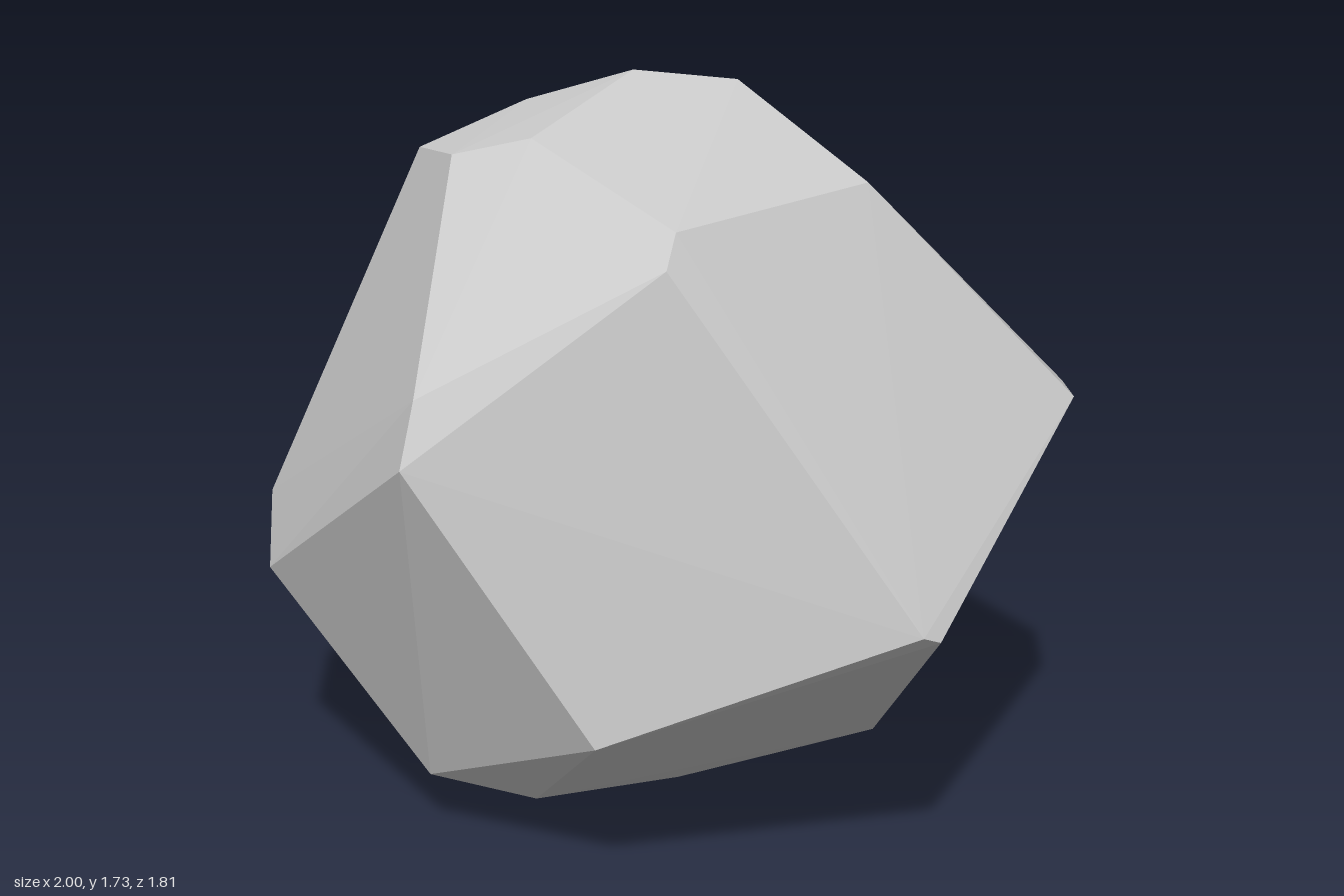
import * as THREE from 'three';
import { ConvexGeometry } from 'three/addons/geometries/ConvexGeometry.js';

// Corners of the rock's cut faces, grouped by height [x, y, z]
const crown = [
  [-0.1, 1.73, -0.12], [0.13, 1.7, -0.24], [-0.39, 1.64, -0.16], [-0.18, 1.64, 0.4],
  [-0.38, 1.59, 0.38], [-0.58, 1.55, 0.08], [0.54, 1.53, 0.13], [0.24, 1.5, 0.67],
  [0.24, 1.43, 0.74], [0.16, 1.47, -0.68], [-0.38, 1.39, -0.61],
];
const waist = [
  [-0.29, 1.14, 0.87], [-0.31, 0.99, 0.91], [1, 1, -0.1], [0.93, 0.92, -0.43],
  [0.93, 0.96, -0.4], [0.47, 1.1, -0.83], [0.83, 0.62, 0.63], [0.8, 0.64, 0.67],
  [-1, 0.65, 0.1], [-1, 0.66, 0.06], [-0.9, 0.53, 0.34], [-0.72, 0.62, -0.66],
];
const base = [
  [-0.69, 0.49, -0.71], [0.11, 0.37, 0.85], [0.05, 0.35, -0.9], [0.59, 0.26, -0.47],
  [-0.23, 0.29, -0.87], [-0.45, 0.28, -0.8], [0.55, 0.13, -0.02], [-0.11, 0.13, 0.62],
  [-0.39, 0.14, 0.58], [-0.42, 0.09, 0.42], [0.1, 0.02, 0.16], [-0.23, 0, 0.07],
];

export function createModel() {
  const group = new THREE.Group();
  group.name = 'rock';

  // Faceted boulder spanned between the corners
  const points = [...crown, ...waist, ...base].map((p) => new THREE.Vector3(...p));
  const boulder = new THREE.Mesh(
    new ConvexGeometry(points),
    new THREE.MeshStandardMaterial({ color: 0xcccccc, flatShading: true }),
  );
  boulder.name = 'boulder';
  group.add(boulder);
  return group;
}
